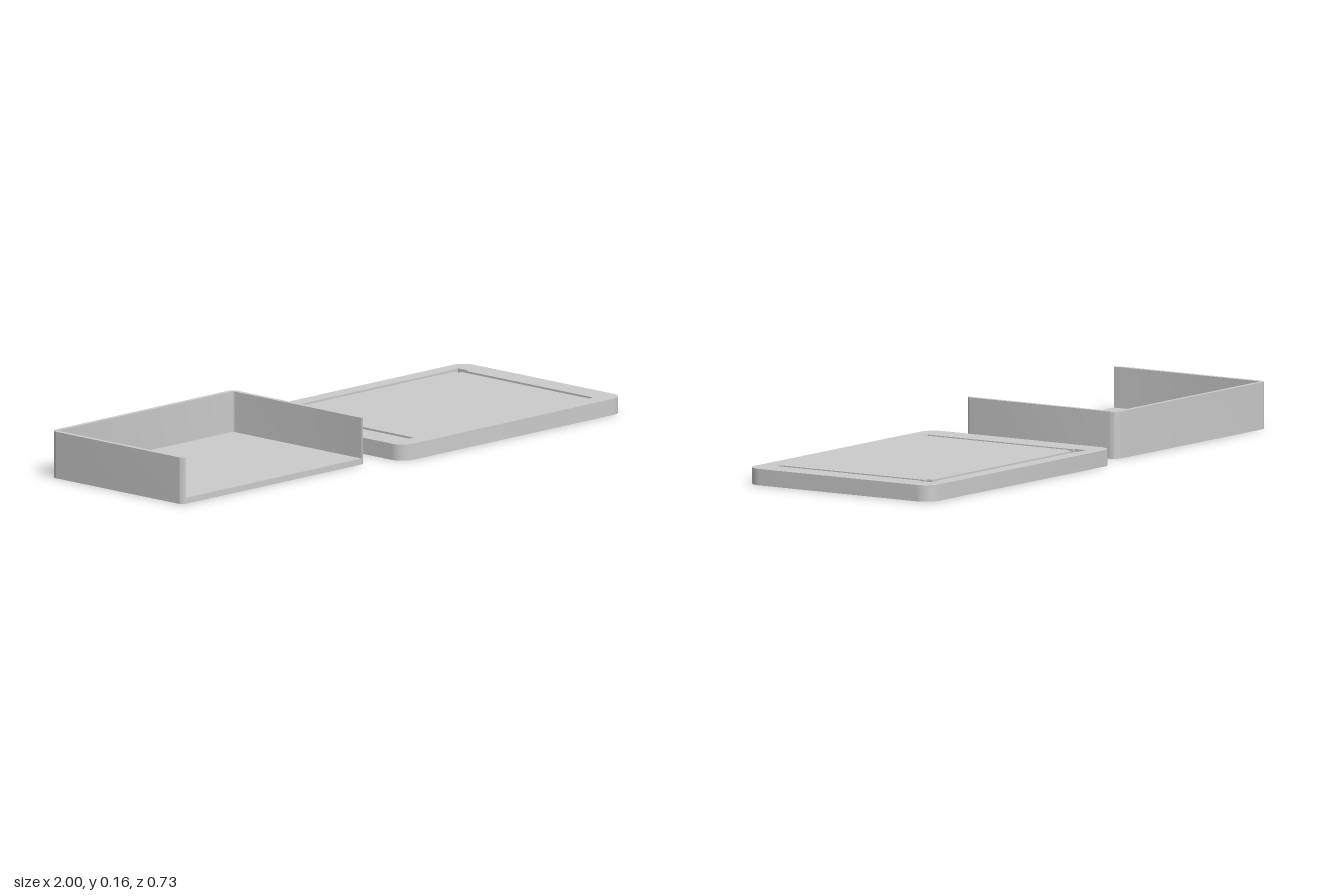
import * as THREE from 'three';
import { toCreasedNormals } from 'three/addons/utils/BufferGeometryUtils.js';

const material = new THREE.MeshStandardMaterial({ color: 0xcccccc });

// Plan outline with rounded corners; shape y is -z (back is +y).
function roundedPlan(x0, x1, zBack, zFront, rBack, rFront) {
  const b = -zBack, f = -zFront, s = new THREE.Shape();
  s.moveTo(x0 + rFront, f);
  s.lineTo(x1 - rFront, f);
  s.absarc(x1 - rFront, f + rFront, rFront, -Math.PI / 2, 0);
  s.absarc(x1 - rBack, b - rBack, rBack, 0, Math.PI / 2);
  s.absarc(x0 + rBack, b - rBack, rBack, Math.PI / 2, Math.PI);
  s.absarc(x0 + rFront, f + rFront, rFront, Math.PI, Math.PI * 1.5);
  return s;
}

// Extrudes a plan outline upward from y0 to y1.
function slab(name, shape, y0, y1) {
  const geo = new THREE.ExtrudeGeometry(shape, { depth: y1 - y0, bevelEnabled: false, curveSegments: 10 });
  geo.rotateX(-Math.PI / 2).translate(0, y0, 0);
  const mesh = new THREE.Mesh(toCreasedNormals(geo, 0.6), material);
  mesh.name = name;
  return mesh;
}

function createTray() {
  const x0 = -1, x1 = -0.145, back = -0.304, front = 0.293;
  const wall = 0.016, floorTop = 0.02, top = 0.155, rBack = 0.026, rFront = 0.016;
  const tray = new THREE.Group();
  tray.name = 'tray';
  tray.add(slab('trayFloor', roundedPlan(x0, x1, back, front, rBack, rFront), 0, floorTop));

  // Three-sided wall, open at the front
  const f = -front, b = -back, ri = rBack - wall, s = new THREE.Shape();
  s.moveTo(x1 - wall, f);
  s.absarc(x1 - rFront, f + rFront, rFront, -Math.PI / 2, 0);
  s.absarc(x1 - rBack, b - rBack, rBack, 0, Math.PI / 2);
  s.absarc(x0 + rBack, b - rBack, rBack, Math.PI / 2, Math.PI);
  s.absarc(x0 + rFront, f + rFront, rFront, Math.PI, Math.PI * 1.5);
  s.absarc(x0 + rBack, b - rBack, ri, Math.PI, Math.PI / 2, true);
  s.absarc(x1 - rBack, b - rBack, ri, Math.PI / 2, 0, true);
  tray.add(slab('trayWall', s, floorTop, top));
  return tray;
}

function createBoard() {
  const plan = () => roundedPlan(-0.042, 1, -0.366, 0.365, 0.052, 0.052);
  const top = 0.054, grooveFloor = 0.032;
  const board = new THREE.Group();
  board.name = 'board';
  board.add(slab('boardBase', plan(), 0, grooveFloor));

  // U-shaped groove with square corner pockets, mirrored about its centre line
  const cx = 0.483;
  const half = [
    [0.394, 0.291], [0.394, 0.27], [0.41, 0.27], [0.41, -0.305],
    [0.431, -0.305], [0.431, 0.27], [0.442, 0.27], [0.442, 0.317],
    [0.394, 0.317], [0.394, 0.312],
  ];
  const outline = [
    ...half.map(([x, y]) => new THREE.Vector2(cx + x, y)),
    ...half.map(([x, y]) => new THREE.Vector2(cx - x, y)).reverse(),
  ];
  const upper = plan();
  upper.holes.push(new THREE.Path(outline));
  board.add(slab('boardTopWithGroove', upper, grooveFloor, top));
  return board;
}

export function createModel() {
  const model = new THREE.Group();
  model.name = 'trayAndBoard';
  model.add(createTray(), createBoard());
  return model;
}
